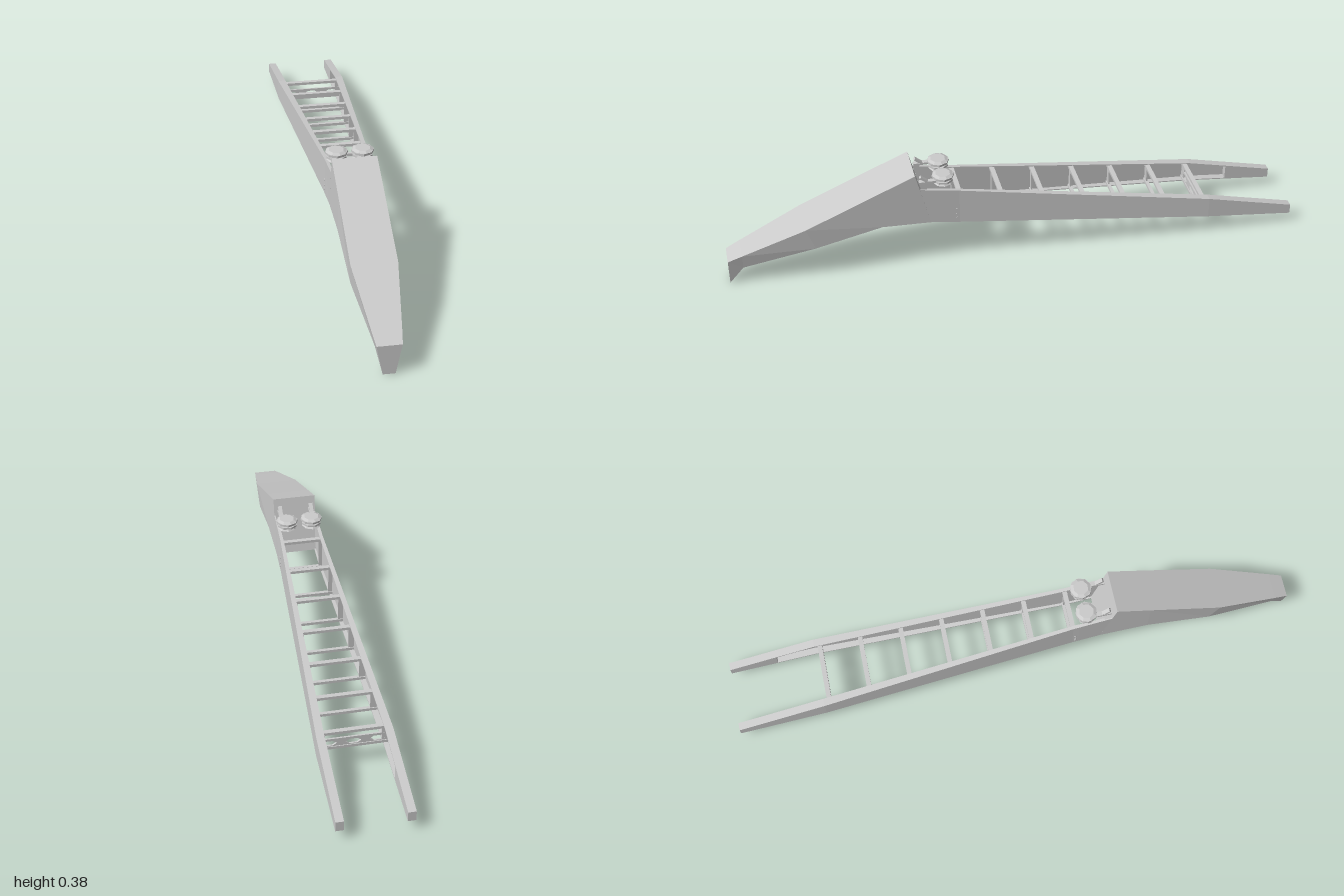
import * as THREE from 'three';

const mat = new THREE.MeshStandardMaterial({ color: 0xcccccc, flatShading: true, side: THREE.DoubleSide });

function add(parent, name, geometry, x = 0, y = 0, z = 0) {
  const mesh = new THREE.Mesh(geometry, mat);
  mesh.name = name;
  mesh.position.set(x, y, z);
  parent.add(mesh);
  return mesh;
}

// Skin four-cornered sections, running from front to back, and cap both ends
function loft(sections) {
  const pos = [];
  const quad = (a, b, c, d) => pos.push(...a, ...b, ...c, ...a, ...c, ...d);
  for (let i = 0; i < sections.length - 1; i++) {
    for (let j = 0; j < 4; j++) {
      const k = (j + 1) % 4;
      quad(sections[i][j], sections[i][k], sections[i + 1][k], sections[i + 1][j]);
    }
  }
  const f = sections[0], e = sections[sections.length - 1];
  quad(f[0], f[3], f[2], f[1]);
  quad(e[0], e[1], e[2], e[3]);
  const g = new THREE.BufferGeometry();
  g.setAttribute('position', new THREE.Float32BufferAttribute(pos, 3));
  g.computeVertexNormals();
  return g;
}

// Piecewise linear value at z; stations run from front to back
function at(stations, z) {
  for (let i = 0; i < stations.length - 1; i++) {
    const [z0, v0] = stations[i], [z1, v1] = stations[i + 1];
    if (z >= z1) return v0 + (v1 - v0) * (z0 - z) / (z0 - z1);
  }
  return stations[stations.length - 1][1];
}
const topY = z => at([[0.335, 0.325], [0.22, 0.305], [-0.69, 0.15], [-1, 0.073]], z);
const botY = z => at([[0.47, 0.19], [0.3, 0.182], [0.2, 0.168], [-0.69, 0.073], [-1, 0.037]], z);
const outerX = z => at([[0.335, 0.075], [0.2, 0.077], [-0.69, 0.125], [-1, 0.127]], z);
const flange = z => at([[0.335, 0.009], [0.2, 0.012], [-0.69, 0.027], [-1, 0.027]], z);

// Lofted rail strip; each row is [xInner, xOuter, yTop, yBottom, zTop, zBottom]
function strip(side, rows) {
  return loft(rows.map(([xi, xo, yt, yb, zt, zb]) => {
    const a = Math.min(side * xi, side * xo), b = Math.max(side * xi, side * xo);
    return [[a, yt, zt], [b, yt, zt], [b, yb, zb], [a, yb, zb]];
  }));
}

// Plate with round-cornered windows
function windowPlate(width, height, depth, count) {
  const s = new THREE.Shape();
  s.moveTo(-width / 2, -height / 2);
  s.lineTo(width / 2, -height / 2);
  s.lineTo(width / 2, height / 2);
  s.lineTo(-width / 2, height / 2);
  for (let i = 0; i < count; i++) {
    const h = new THREE.Path();
    h.absellipse((i + 0.5 - count / 2) * width / count, 0, width / count * 0.33, height * 0.3, 0, Math.PI * 2, true);
    s.holes.push(h);
  }
  return new THREE.ExtrudeGeometry(s, { depth, bevelEnabled: false, curveSegments: 3 }).translate(0, 0, -depth / 2);
}

export function createModel() {
  const model = new THREE.Group();
  model.name = 'boom';

  // Closed front beam: [zTop, yTop, halfTop, zBottom, yBottom, halfBottom]
  const beam = [
    [1, 0.105, 0.04, 1, 0, 0.02],
    [0.95, 0.127, 0.047, 0.95, 0.07, 0.036],
    [0.73, 0.221, 0.075, 0.7, 0.135, 0.07],
    [0.47, 0.333, 0.075, 0.47, 0.19, 0.075],
    [0.35, 0.384, 0.075, 0.3, 0.182, 0.075],
  ];
  add(model, 'frontBeam', loft(beam.map(([zt, yt, wt, zb, yb, wb]) =>
    [[-wt, yt, zt], [wt, yt, zt], [wb, yb, zb], [-wb, yb, zb]])));

  // Channel rails with boxed rear tips
  const stations = [0.31, 0.22, 0.2, -0.69, -0.83];
  for (const side of [1, -1]) {
    const rail = new THREE.Group();
    rail.name = side > 0 ? 'leftRail' : 'rightRail';
    model.add(rail);
    const t = 0.004;
    add(rail, 'railWeb', strip(side, [
      [0.071, 0.075, 0.325, 0.182, 0.335, 0.3],
      ...stations.slice(1).map(z => [outerX(z) - t, outerX(z), topY(z), botY(z), z, z]),
    ]));
    add(rail, 'topFlange', strip(side, stations.map(z =>
      [outerX(z) - flange(z), outerX(z) - t, topY(z), topY(z) - t, z, z])));
    add(rail, 'bottomFlange', strip(side, stations.map(z =>
      [outerX(z) - flange(z), outerX(z) - t, botY(z) + t, botY(z), z, z])));
    add(rail, 'railTip', strip(side, [-0.83, -1].map(z =>
      [outerX(z) - flange(z), outerX(z), topY(z), botY(z), z, z])));
    // Bolts near the rail root
    for (const y of [0.19, 0.205, 0.225]) {
      add(rail, 'bolt', new THREE.CylinderGeometry(0.004, 0.004, 0.006, 6).rotateZ(Math.PI / 2),
        side * 0.076, y, 0.21);
    }
  }

  // Cross frames: top rung, bottom rung and a rib inside each rail
  for (let i = 0; i < 7; i++) {
    const z = 0.2 - i * 0.145;
    const frame = new THREE.Group();
    frame.name = 'crossFrame';
    model.add(frame);
    const half = outerX(z) - 0.004, w = flange(z), h = topY(z) - botY(z);
    add(frame, 'topRung', new THREE.BoxGeometry(2 * half, 0.01, 0.016), 0, topY(z) - 0.009, z);
    add(frame, 'bottomRung', new THREE.BoxGeometry(2 * half, 0.01, 0.012), 0, botY(z) + 0.008, z);
    for (const side of [1, -1]) {
      add(frame, 'rib', new THREE.BoxGeometry(w, h - 0.01, 0.005), side * (half - w / 2), botY(z) + h / 2, z);
    }
    if (i === 6) {
      add(frame, 'windowPlate', windowPlate(2 * half, 0.036, 0.006, 3), 0, botY(z) + 0.025, z);
    }
  }

  // Paired stacked pads with hooked arms behind the beam's peak
  for (const side of [1, -1]) {
    const pad = new THREE.Group();
    pad.name = side > 0 ? 'leftPad' : 'rightPad';
    pad.position.set(side * 0.044, 0.327, 0.25);
    model.add(pad);
    const tiers = [[0.026, 0.034, 0.008, 0.004], [0.036, 0.036, 0.007, 0.013],
      [0.028, 0.028, 0.005, 0.019], [0.038, 0.038, 0.008, 0.026], [0.026, 0.037, 0.005, 0.033]];
    tiers.forEach(([rt, rb, h, y], i) =>
      add(pad, 'padTier', new THREE.CylinderGeometry(rt, rb, h, 8).rotateY(i * 0.25), 0, y, 0));
    add(pad, 'padArm', new THREE.BoxGeometry(0.016, 0.008, 0.07), side * 0.012, 0.016, 0.05);
    const hook = add(pad, 'padHook', new THREE.BoxGeometry(0.014, 0.008, 0.036), side * 0.012, 0.026, 0.066);
    hook.rotation.x = -0.7;
  }
  return model;
}
